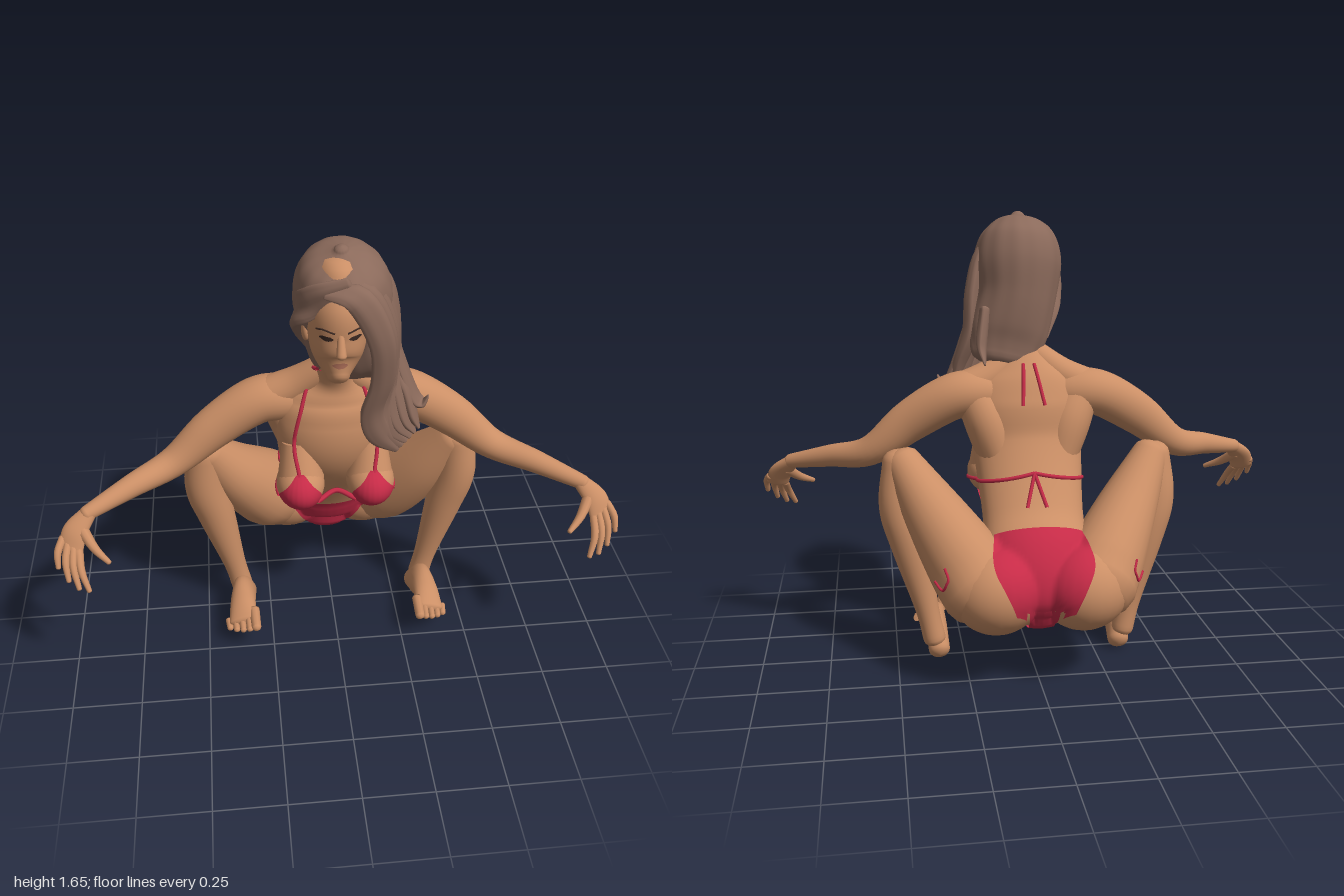
import * as THREE from 'three';

const V = (x, y, z) => new THREE.Vector3(x, y, z);
const mat = (name, color, side = THREE.FrontSide) => {
  const m = new THREE.MeshStandardMaterial({ color, side });
  m.name = name;
  return m;
};
const spline = pts => new THREE.CatmullRomCurve3(pts, false, 'catmullrom', 0.5);

export function createModel() {
  const group = new THREE.Group();
  const skin = mat('skin', 0xcb8f66);
  const hair = mat('hair', 0x8b6a5b);
  const red = mat('crimson cloth', 0xc62b47, THREE.DoubleSide);
  const dark = mat('dark eye', 0x3a2822, THREE.DoubleSide);
  const lip = mat('lip', 0xb0705a, THREE.DoubleSide);

  const add = (name, geo, m) => {
    const mesh = new THREE.Mesh(geo, m);
    mesh.name = name;
    group.add(mesh);
    return mesh;
  };
  const surface = (name, pos, idx, m) => {
    const g = new THREE.BufferGeometry();
    g.setAttribute('position', new THREE.Float32BufferAttribute(pos, 3));
    g.setIndex(idx);
    g.computeVertexNormals();
    return add(name, g, m);
  };

  // Smooth body through stations [x, y, z, halfWidth, halfDepth], with rounded ends
  const loft = (name, m, st, hint = [1, 0, 0], { rows = 28, seg = 24, ripple = 0, waves = 9 } = {}) => {
    const path = spline(st.map(s => V(s[0], s[1], s[2])));
    const size = spline(st.map(s => V(s[3], s[4] ?? s[3], 0)));
    const pos = [], idx = [], H = V(...hint);
    const ring = (t, push, scale) => {
      const c = path.getPoint(t), T = path.getTangent(t), r = size.getPoint(t);
      const W = H.clone().addScaledVector(T, -H.dot(T)).normalize(), D = T.clone().cross(W);
      c.addScaledVector(T, push * Math.min(r.x, r.y) * 0.7);
      for (let j = 0; j < seg; j++) {
        const a = j / seg * Math.PI * 2, k = scale * (1 + ripple * Math.cos(a * waves + t * 3));
        const p = c.clone().addScaledVector(W, Math.cos(a) * r.x * k).addScaledVector(D, Math.sin(a) * r.y * k);
        pos.push(p.x, p.y, p.z);
      }
    };
    const cap = [0, 1, 2, 3].map(i => (i + 0.02) * Math.PI / 8);
    cap.forEach(a => ring(0, -Math.cos(a), Math.sin(a)));
    for (let i = 0; i <= rows; i++) ring(i / rows, 0, 1);
    cap.reverse().forEach(a => ring(1, Math.cos(a), Math.sin(a)));
    for (let i = 0; i < rows + 8; i++) for (let j = 0; j < seg; j++) {
      const a = i * seg + j, b = i * seg + (j + 1) % seg;
      idx.push(a, b, a + seg, b, b + seg, a + seg);
    }
    return surface(name, pos, idx, m);
  };
  const ball = (name, m, p, r) =>
    add(name, new THREE.SphereGeometry(1, 28, 20).scale(...r).translate(...p), m);

  // Torso and neck
  const torso = loft('torso', skin, [
    [0, 0.28, -0.26, 0.13, 0.1], [0, 0.35, -0.26, 0.19, 0.135], [0, 0.45, -0.215, 0.197, 0.14],
    [0, 0.57, -0.12, 0.184, 0.118], [0, 0.8, 0.025, 0.203, 0.132], [0, 0.95, 0.045, 0.215, 0.125],
    [0, 1.04, 0.055, 0.185, 0.097], [0, 1.13, 0.09, 0.075, 0.067], [-0.01, 1.28, 0.19, 0.06],
  ], [1, 0, 0], { rows: 50, seg: 40 });
  const body = [torso];

  for (const s of [1, -1]) {
    const side = s > 0 ? 'left' : 'right';
    const part = (name, st, hint = [s, 0, 0], o) =>
      loft(side + name, skin, st.map(([x, ...r]) => [x * s, ...r]), hint, o);
    const digit = { rows: 8, seg: 10 };

    // Chest, seat and leg
    body.push(
      ball(side + 'Breast', skin, [s * 0.128, 0.685, 0.13], [0.088, 0.085, 0.113]),
      part('UpperBreast', [[0.13, 0.84, 0.09, 0.06], [0.126, 0.7, 0.125, 0.086]]),
      ball(side + 'Buttock', skin, [s * 0.155, 0.355, -0.29], [0.165, 0.155, 0.16]),
      part('Thigh', [[0.2, 0.36, -0.28, 0.15], [0.26, 0.44, -0.2, 0.14, 0.155],
        [0.36, 0.59, -0.09, 0.11, 0.12], [0.463, 0.762, 0, 0.066]]));
    part('Shin', [[0.475, 0.765, 0.005, 0.062], [0.478, 0.6, -0.008, 0.077], [0.445, 0.45, -0.02, 0.071],
      [0.388, 0.2, -0.028, 0.044], [0.362, 0.08, -0.03, 0.042]]);
    part('Foot', [[0.345, 0.036, -0.035, 0.04, 0.042], [0.352, 0.095, 0.035, 0.041, 0.064],
      [0.362, 0.112, 0.12, 0.05, 0.044], [0.366, 0.103, 0.21, 0.055, 0.021]], [s, -0.35, 0]);
    for (let i = 0; i < 5; i++) {
      const x = 0.316 + i * 0.025, y = 0.122 - i * 0.011, r = i ? 0.0135 : 0.02;
      part('Toe' + i, [[x + 0.004, y, 0.18, r], [x, y - 0.005, 0.272 - i * i * 0.0032, r * 0.9]], [s, 0, 0], digit);
    }

    // Arm, shoulder slope and hand
    part('Arm', [[0.08, 0.985, 0.05, 0.06], [0.18, 1.0, 0.04, 0.083], [0.28, 0.988, 0.04, 0.085],
      [0.43, 0.9, 0.062, 0.066, 0.078], [0.58, 0.785, 0.095, 0.056], [0.73, 0.75, 0.18, 0.042],
      [0.885, 0.712, 0.275, 0.027]], [0, 0, 1], { rows: 40, seg: 28 });
    part('ShoulderSlope', [[0.03, 1.14, 0.085, 0.05], [0.13, 1.065, 0.055, 0.06], [0.25, 1.005, 0.04, 0.07]], [0, 0, 1]);
    part('ShoulderBlade', [[0.11, 0.78, 0.01, 0.08, 0.1], [0.15, 0.9, 0.01, 0.085, 0.09], [0.2, 1.0, 0.035, 0.07]]);
    part('Palm', [[0.875, 0.715, 0.27, 0.028, 0.024], [0.925, 0.665, 0.31, 0.044, 0.022],
      [0.942, 0.615, 0.338, 0.043, 0.016]], [s * 0.8, 0.4, -0.4]);
    for (let i = 0; i < 4; i++) {
      const base = V(0.915 + i * 0.018, 0.608 + i * 0.012, 0.35 - i * 0.011);
      const tip = V(0.885 + i * 0.034, 0.503 + i * i * 0.0075, 0.44 - i * i * 0.006);
      const mid = base.clone().lerp(tip, 0.5).addScalar(0.008);
      part('Finger' + i, [[...base, 0.015], [...mid, 0.0135], [...tip, 0.009]], [s, 0, 0], digit);
    }
    part('Thumb', [[0.905, 0.675, 0.3, 0.022], [0.86, 0.628, 0.362, 0.016], [0.81, 0.598, 0.408, 0.009]], [0, 1, 0], digit);
    ball(side + 'Ear', skin, [s * 0.103 - 0.005, 1.365, 0.225], [0.015, 0.038, 0.024]);
  }

  // Head and nose
  const head = loft('head', skin, [
    [-0.008, 1.228, 0.297, 0.038, 0.055], [-0.007, 1.285, 0.26, 0.08, 0.107], [-0.006, 1.36, 0.238, 0.098, 0.13],
    [-0.004, 1.46, 0.222, 0.105, 0.143], [0, 1.57, 0.207, 0.075, 0.105]], [1, 0, 0], { rows: 40, seg: 36 });
  loft('nose', skin, [[-0.008, 1.415, 0.355, 0.01], [-0.008, 1.345, 0.38, 0.017]], [1, 0, 0], { rows: 10, seg: 14 });

  // Projection of cloth and painted details onto the body
  group.updateMatrixWorld(true);
  const ray = new THREE.Raycaster();
  const cast = (o, dir, targets, pad) => {
    ray.set(o, dir);
    const hit = ray.intersectObjects(targets, false)[0];
    return hit ? hit.point.addScaledVector(dir, -pad) : null;
  };
  // Rows are [height along up, halfWidth]
  const drape = (name, m, targets, d, u, rows, x = 0, pad = 0.009, n = 28) => {
    const dir = V(...d), up = V(...u), pos = [], idx = [], ok = [];
    const curve = spline(rows.map(r => V(r[0], r[1], 0)));
    for (let i = 0; i <= n; i++) for (let j = 0; j <= n; j++) {
      const r = curve.getPoint(i / n);
      const o = V(x + r.y * (j / n * 2 - 1), 0, 0).addScaledVector(up, r.x).addScaledVector(dir, -2);
      const p = cast(o, dir, targets, pad);
      ok.push(!!p);
      pos.push(...(p || o));
    }
    for (let i = 0; i < n; i++) for (let j = 0; j < n; j++) {
      const a = i * (n + 1) + j, b = a + 1, c = a + n + 1, e = c + 1;
      if (ok[a] && ok[b] && ok[c] && ok[e]) idx.push(a, b, c, b, e, c);
    }
    surface(name, pos, idx, m);
  };
  const cord = (name, pts, m = red, r = 0.007) => {
    const p = pts.filter(Boolean);
    if (p.length > 1) add(name, new THREE.TubeGeometry(new THREE.CatmullRomCurve3(p), 40, r, 6), m);
  };
  const along = (pts, d, targets) => spline(pts.map(p => V(...p))).getPoints(14)
    .map(p => cast(p.addScaledVector(V(...d), -1), V(...d), targets, 0.002));
  const around = (y0, y1, z, a0, a1) => Array.from({ length: 25 }, (_, i) => {
    const t = i / 24, a = a0 + (a1 - a0) * t, d = V(-Math.sin(a), 0, -Math.cos(a));
    return cast(V(0, y0 + (y1 - y0) * t, z).addScaledVector(d, -0.32), d, body, 0.002);
  });

  // Face details
  const F = [0, 0, -1], B = [0, 0, 1], UP = [0, 1, 0];
  for (const s of [1, -1]) {
    const x = s * 0.046 - 0.007;
    drape('eye', dark, [head], F, UP, [[1.387, 0.006], [1.396, 0.022], [1.404, 0.012]], x, 0.003, 8);
    cord('eyebrow', along([[x - s * 0.026, 1.418, 0], [x + s * 0.008, 1.426, 0], [x + s * 0.03, 1.42, 0]], F, [head]), dark, 0.003);
  }
  drape('lips', lip, [head], F, UP, [[1.281, 0.01], [1.292, 0.026], [1.302, 0.012]], -0.008, 0.005, 8);

  // Swimsuit bottom
  drape('frontPanel', red, body, F, UP, [[0.2, 0.055], [0.27, 0.085], [0.37, 0.135], [0.43, 0.172]]);
  drape('backPanel', red, body, [0, -0.6, 0.8], [0, 0.8, 0.6], [[-0.1, 0.05], [0.05, 0.14], [0.15, 0.175], [0.29, 0.158]]);
  drape('gusset', red, body, UP, B, [[-0.43, 0.055], [-0.3, 0.045], [-0.16, 0.055]]);

  for (const s of [1, -1]) {
    // Cups: soft triangles laid on the breast
    drape('cup', red, body, F, UP, [[0.608, 0.035], [0.635, 0.07], [0.69, 0.072], [0.765, 0.012]], s * 0.132);

    // Straps, band and ties
    cord('neckStrap', along([[s * 0.135, 0.755, 0], [s * 0.148, 0.87, 0], [s * 0.11, 1.04, 0], [s * 0.055, 1.18, 0]], F, body));
    cord('backBand', around(0.66, 0.74, 0, s * 0.9, s * Math.PI));
    cord('neckTie', along([[s * 0.02, 1.11, 0], [s * 0.04 - 0.01, 0.97, 0]], B, body));
    cord('bandTie', along([[0, 0.74, 0], [s * 0.035, 0.63, 0]], B, [torso]));
    cord('hipBow', along([[0, 0.46, -0.33], [0, 0.42, -0.35], [0, 0.38, -0.33], [0, 0.4, -0.29]], [-s, 0, 0], body), red, 0.005);
  }
  cord('centreLink', [V(-0.07, 0.65, 0.205), V(0, 0.668, 0.17), V(0.07, 0.65, 0.205)], red, 0.01);
  cord('neckLoop', Array.from({ length: 9 }, (_, i) => {
    const a = (i + 2) / 6 * Math.PI;
    return V(-0.006 + 0.068 * Math.sin(a), 1.155 + 0.025 * Math.cos(a), 0.11 + 0.068 * Math.cos(a));
  }));

  // Hair: main mass behind the face, with a rounded crown
  loft('hairMass', hair, [
    [0.008, 1.634, 0.22, 0.025], [0.01, 1.605, 0.212, 0.095, 0.11], [0.012, 1.55, 0.197, 0.142, 0.163],
    [0.018, 1.46, 0.168, 0.164, 0.175], [0.03, 1.34, 0.134, 0.15, 0.145], [0.065, 1.21, 0.1, 0.148, 0.105],
    [0.085, 1.13, 0.065, 0.12, 0.06]],
  [1, 0, 0], { rows: 44, seg: 72, ripple: 0.008, waves: 14 });

  // Hair: flat locks blended between a front and a side guide, falling over the left shoulder
  const lock = (name, pts, hint) =>
    loft(name, hair, pts.map(([x, y, z, w]) => [x, y, z, w, w * 0.45]), hint, { rows: 30, ripple: 0.04, waves: 6 });
  const frontGuide = [[-0.05, 1.55, 0.335, 0.025], [0.05, 1.525, 0.362, 0.045], [0.125, 1.37, 0.35, 0.045],
    [0.135, 1.2, 0.305, 0.045], [0.11, 1.06, 0.265, 0.045], [0.14, 0.95, 0.235, 0.045], [0.21, 0.86, 0.21, 0.012]];
  const sideGuide = [[0.05, 1.58, 0.19, 0.03], [0.145, 1.5, 0.17, 0.06], [0.185, 1.36, 0.14, 0.07],
    [0.2, 1.21, 0.13, 0.065], [0.24, 1.09, 0.15, 0.055], [0.265, 0.99, 0.17, 0.04], [0.29, 0.93, 0.18, 0.012]];
  for (let i = 0; i < 6; i++) {
    const f = i / 5;
    lock('sweptLock' + i, frontGuide.map((p, k) => p.map((v, c) => v + (sideGuide[k][c] - v) * f)),
      [1 - f * 0.8, 0.35, -0.3 - f * 0.7]);
  }
  lock('shoulderCurl', [[0.18, 1.3, 0.15, 0.04], [0.26, 1.07, 0.15, 0.042], [0.3, 1.02, 0.16, 0.028], [0.32, 1.05, 0.17, 0.008]], [0.3, 0.2, -1]);
  lock('rightSweep', [[0.02, 1.56, 0.33, 0.04], [-0.07, 1.53, 0.32, 0.05], [-0.125, 1.45, 0.26, 0.05],
    [-0.108, 1.33, 0.14, 0.04], [-0.07, 1.2, 0.07, 0.015]], [0.3, 1, 0.4]);
  lock('napeWisp', [[0.15, 1.3, 0.05, 0.045], [0.17, 1.18, 0.005, 0.04], [0.165, 1.12, -0.06, 0.006]], [0.3, 0.2, -1]);
  return group;
}
